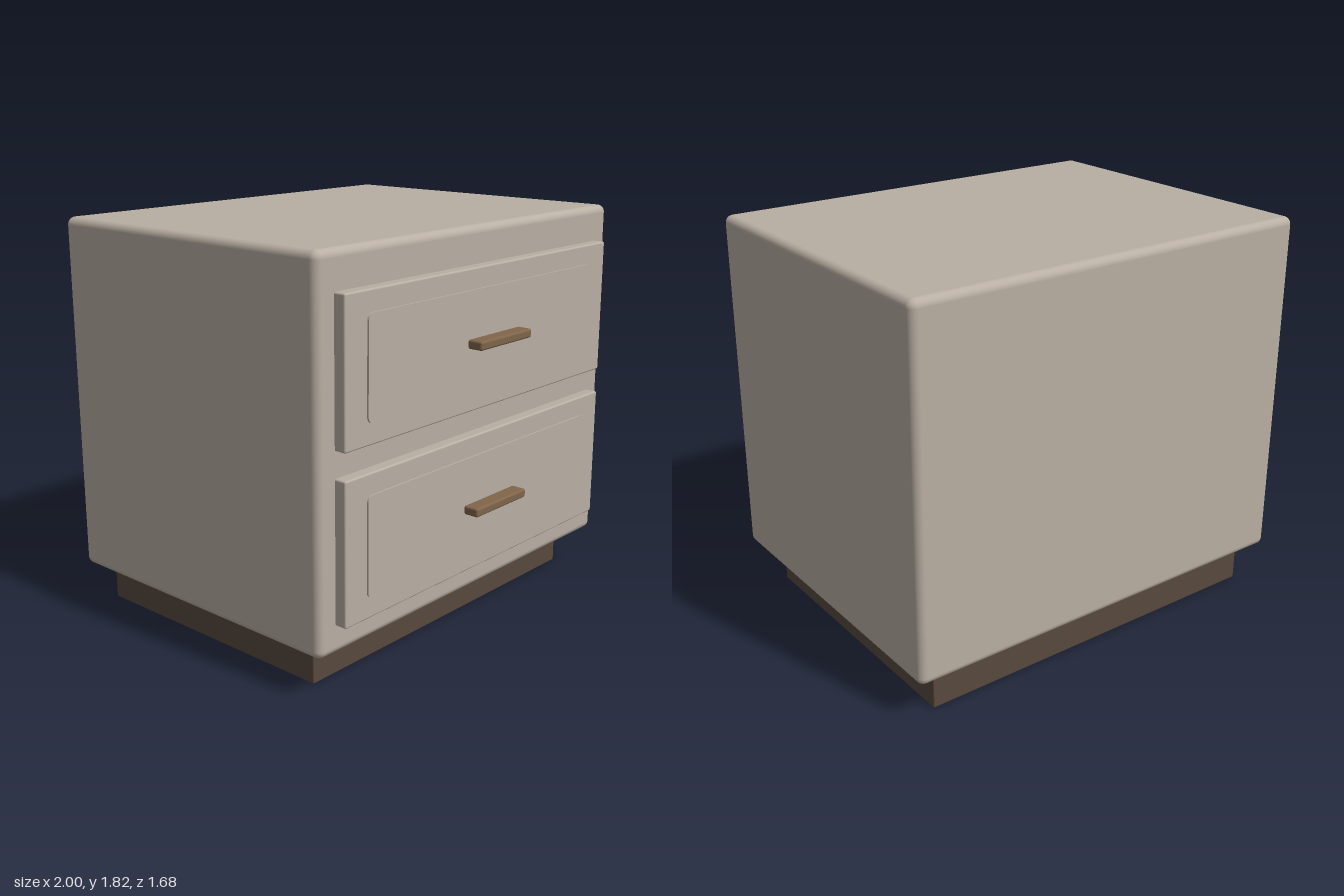
import * as THREE from 'three';
import { RoundedBoxGeometry } from 'three/addons/geometries/RoundedBoxGeometry.js';

const paint = new THREE.MeshStandardMaterial({ color: 0xb9afa3 });
const darkWood = new THREE.MeshStandardMaterial({ color: 0x57493e });
const handleWood = new THREE.MeshStandardMaterial({ color: 0x80654a });

// Rounded box given by its minimum and maximum corners
function block(name, min, max, radius, material) {
  const size = max.map((v, i) => v - min[i]);
  const mesh = new THREE.Mesh(new RoundedBoxGeometry(...size, 4, radius), material);
  mesh.position.set(...max.map((v, i) => (v + min[i]) / 2));
  mesh.name = name;
  return mesh;
}

// Thin plate with rounded corners, centred in x and y, growing along +z
function plateGeometry(w, h, r, depth) {
  const x = w / 2, y = h / 2;
  const shape = new THREE.Shape();
  shape.absarc(x - r, y - r, r, 0, Math.PI / 2);
  shape.absarc(-x + r, y - r, r, Math.PI / 2, Math.PI);
  shape.absarc(-x + r, -y + r, r, Math.PI, Math.PI * 1.5);
  shape.absarc(x - r, -y + r, r, Math.PI * 1.5, Math.PI * 2);
  return new THREE.ExtrudeGeometry(shape, { depth, bevelEnabled: false, curveSegments: 6 });
}

// Drawer front with raised panel and bar handle, centred on y = 0
function createDrawer(name, y) {
  const drawer = new THREE.Group();
  drawer.name = name;
  drawer.position.y = y;
  drawer.add(block('drawerFront', [-0.905, -0.308, 0.66], [0.905, 0.308, 0.742], 0.008, paint));

  const panel = new THREE.Mesh(plateGeometry(1.56, 0.436, 0.03, 0.02), paint);
  panel.name = 'raisedPanel';
  panel.position.z = 0.73;
  drawer.add(panel);

  drawer.add(block('handle', [-0.18, -0.02, 0.765], [0.18, 0.02, 0.838], 0.01, handleWood));
  return drawer;
}

export function createModel() {
  const model = new THREE.Group();
  model.name = 'nightstand';

  // Recessed plinth and cabinet body
  model.add(block('plinth', [-0.89, 0, -0.76], [0.89, 0.2, 0.548], 0.006, darkWood));
  model.add(block('cabinetBody', [-1, 0.187, -0.838], [1, 1.82, 0.688], 0.035, paint));

  // Two matching drawers
  model.add(createDrawer('lowerDrawer', 0.622));
  model.add(createDrawer('upperDrawer', 1.35));
  return model;
}
